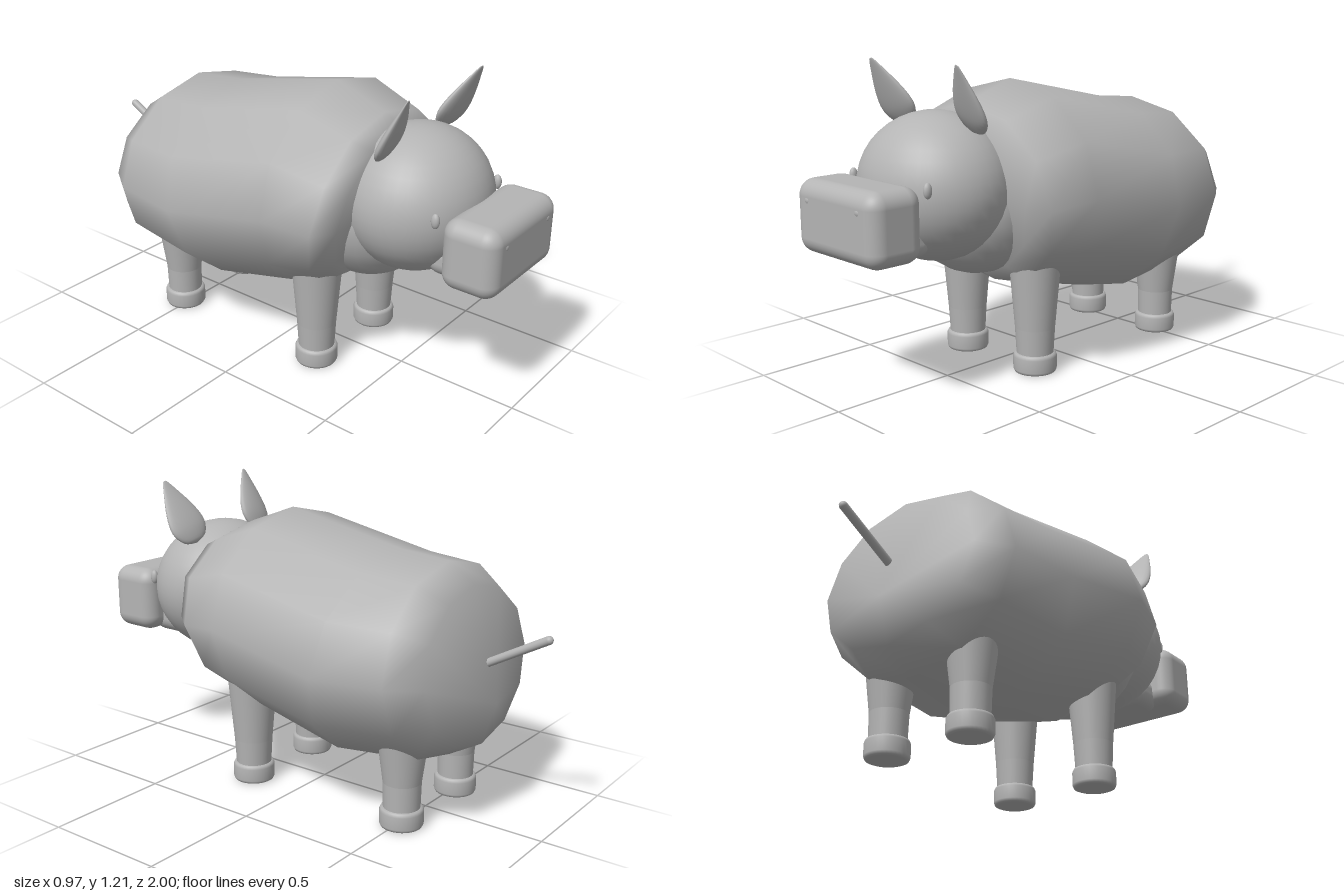
import * as THREE from 'three';
import { RoundedBoxGeometry } from 'three/addons/geometries/RoundedBoxGeometry.js';

const grey = new THREE.MeshStandardMaterial({ color: 0xb4b4b4 });
grey.name = 'grey';

// Twelve-sided barrel lofted through leaning oval rings, closed by a pole at each end
function bodyGeometry() {
  const sides = 12;
  // [top z, top y, bottom z, bottom y, half width, forward bulge at mid height]
  const rings = [
    [0.46, 1.0, 0.34, 0.4, 0.37, 0.04],
    [0.38, 1.04, 0.25, 0.335, 0.43, 0.05],
    [0.16, 1.12, 0.13, 0.3, 0.48, 0.03],
    [-0.35, 1.015, -0.24, 0.21, 0.487, 0],
    [-0.57, 0.995, -0.6, 0.245, 0.45, 0],
    [-0.68, 0.92, -0.735, 0.32, 0.365, 0],
  ];
  const positions = [];
  const index = [];
  for (const [topZ, topY, bottomZ, bottomY, width, bulge] of rings) {
    for (let j = 0; j < sides; j++) {
      const a = (j / sides) * Math.PI * 2;
      const t = (1 + Math.cos(a)) / 2;
      positions.push(
        width * Math.sin(a),
        THREE.MathUtils.lerp(bottomY, topY, t),
        THREE.MathUtils.lerp(bottomZ, topZ, t) + bulge * Math.sin(a) ** 2
      );
    }
  }
  const front = rings.length * sides;
  const last = front - sides;
  positions.push(0, 0.72, 0.45, 0, 0.49, -0.79);
  for (let j = 0; j < sides; j++) {
    const k = (j + 1) % sides;
    for (let i = 0; i < last; i += sides) {
      index.push(i + j, i + k, i + sides + j, i + k, i + sides + k, i + sides + j);
    }
    index.push(front, k, j, front + 1, last + j, last + k);
  }
  const geometry = new THREE.BufferGeometry();
  geometry.setAttribute('position', new THREE.Float32BufferAttribute(positions, 3));
  geometry.setIndex(index);
  geometry.computeVertexNormals();
  return geometry;
}

function lathe(points, segments = 32) {
  return new THREE.LatheGeometry(points.map(([r, y]) => new THREE.Vector2(r, y)), segments);
}

export function createModel() {
  const model = new THREE.Group();
  model.name = 'animal';

  function add(name, geometry, x = 0, y = 0, z = 0) {
    const mesh = new THREE.Mesh(geometry, grey);
    mesh.name = name;
    mesh.position.set(x, y, z);
    model.add(mesh);
    return mesh;
  }
  function ellipsoid(name, x, y, z, rx, ry, rz, detail = 32) {
    const geometry = new THREE.SphereGeometry(1, detail, detail / 2).scale(rx, ry, rz);
    return add(name, geometry, x, y, z);
  }

  // Trunk, neck and head
  add('body', bodyGeometry());
  ellipsoid('neck', 0, 0.68, 0.36, 0.3, 0.29, 0.25);
  ellipsoid('head', 0, 0.752, 0.54, 0.304, 0.278, 0.28, 40);
  add('snout', new RoundedBoxGeometry(0.465, 0.27, 0.225, 5, 0.06), 0, 0.675, 0.885);
  add('lowerJaw', new RoundedBoxGeometry(0.3, 0.14, 0.2, 5, 0.06), 0, 0.595, 0.76);

  // Leaf-shaped ear, flattened front to back
  const earShape = new THREE.SplineCurve([
    [0, 0], [0.052, 0.014], [0.083, 0.055], [0.086, 0.1],
    [0.068, 0.16], [0.038, 0.225], [0.012, 0.275], [0, 0.282],
  ].map(([r, y]) => new THREE.Vector2(r, y))).getPoints(24);
  earShape.forEach((p) => { p.x = Math.max(0, p.x); });
  const earGeometry = new THREE.LatheGeometry(earShape, 24).scale(1, 1, 0.28);

  const footGeometry = lathe([
    [0, 0], [0.07, 0], [0.08, 0.004], [0.085, 0.015],
    [0.085, 0.065], [0.08, 0.076], [0.07, 0.08], [0, 0.08],
  ]);

  for (const [side, s] of [['left', 1], ['right', -1]]) {
    // Face details
    const ear = add(side + 'Ear', earGeometry, s * 0.195, 0.962, 0.51);
    ear.rotation.set(0.45, s * -0.15, s * -0.17);
    ellipsoid(side + 'Eye', s * 0.214, 0.788, 0.75, 0.014, 0.029, 0.017, 16);
    ellipsoid(side + 'Nostril', s * 0.147, 0.738, 0.985, 0.022, 0.018, 0.015, 16);

    // Two-part legs on round feet
    for (const [end, z, top, topRadius, kneeRadius] of [
      ['Front', 0.22, 0.46, 0.102, 0.078],
      ['Back', -0.515, 0.36, 0.098, 0.074],
    ]) {
      const x = s * 0.197;
      const upper = new THREE.CylinderGeometry(topRadius, kneeRadius, top - 0.18, 32);
      const lower = new THREE.CylinderGeometry(kneeRadius, 0.071, 0.12, 32);
      add(side + end + 'UpperLeg', upper, x, (top + 0.18) / 2, z);
      add(side + end + 'LowerLeg', lower, x, 0.12, z);
      add(side + end + 'Foot', footGeometry, x, 0, z);
    }
  }

  // Straight thin tail sloping down behind
  const tail = add('tail', new THREE.CapsuleGeometry(0.016, 0.275, 6, 16), 0, 0.7, -0.86);
  tail.rotation.x = Math.atan2(0.25, -0.135);

  return model;
}
